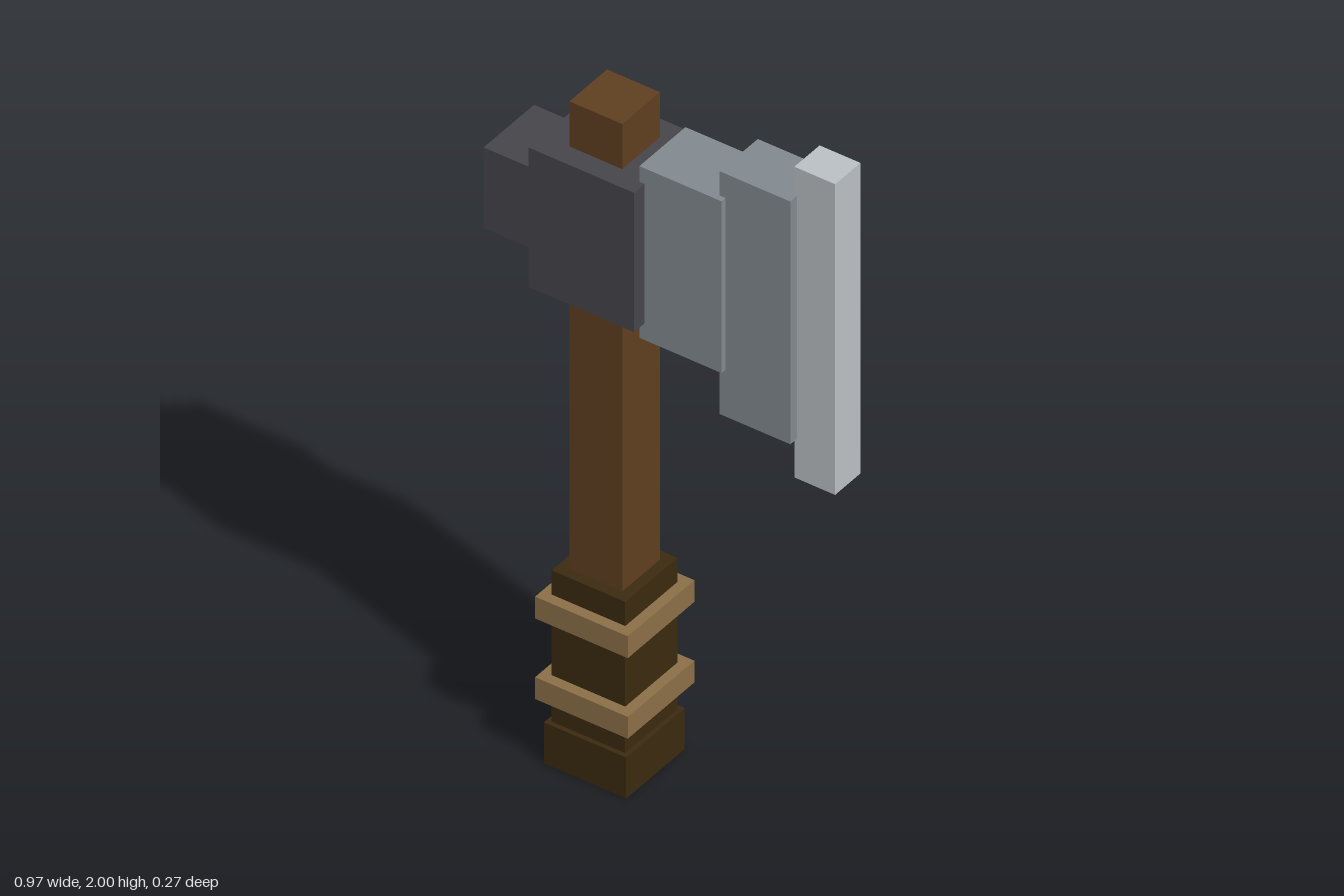
import * as THREE from 'three';

const mat = (name, color) => {
  const m = new THREE.MeshStandardMaterial({ color });
  m.name = name;
  return m;
};

export function createModel() {
  const wood = mat('brown wood', 0x5f3f20);
  const leather = mat('dark leather', 0x3b2a10);
  const binding = mat('tan binding', 0x8c6f48);
  const iron = mat('dark iron', 0x46454a);
  const steel = mat('grey steel', 0x828a8f);
  const edge = mat('bright edge', 0xbbc0c4);

  const axe = new THREE.Group();
  axe.name = 'axe';

  // Block given by its x and y extents and its full depth in z
  const block = (name, material, x0, x1, y0, y1, depth) => {
    const mesh = new THREE.Mesh(new THREE.BoxGeometry(x1 - x0, y1 - y0, depth), material);
    mesh.position.set((x0 + x1) / 2, (y0 + y1) / 2, 0);
    mesh.name = name;
    axe.add(mesh);
  };

  // Handle, grip and pommel
  block('handle', wood, -0.26, -0.108, 0.1, 1.932, 0.152);
  block('grip', leather, -0.29, -0.079, 0.06, 0.563, 0.21);
  block('pommel', leather, -0.303, -0.067, 0, 0.12, 0.236);

  // Bindings round the grip
  for (const y of [0.192, 0.428]) block('gripBinding', binding, -0.317, -0.051, y, y + 0.064, 0.268);

  // Head socket and rear poll
  block('headSocket', iron, -0.335, -0.032, 1.392, 1.8, 0.27);
  block('poll', iron, -0.488, -0.32, 1.477, 1.713, 0.203);

  // Blade, widening and thinning in steps towards the cutting edge
  block('innerBlade', steel, -0.047, 0.189, 1.343, 1.846, 0.186);
  block('outerBlade', steel, 0.172, 0.375, 1.206, 1.917, 0.154);
  block('cuttingEdge', edge, 0.368, 0.485, 1.09, 2, 0.102);

  return axe;
}
